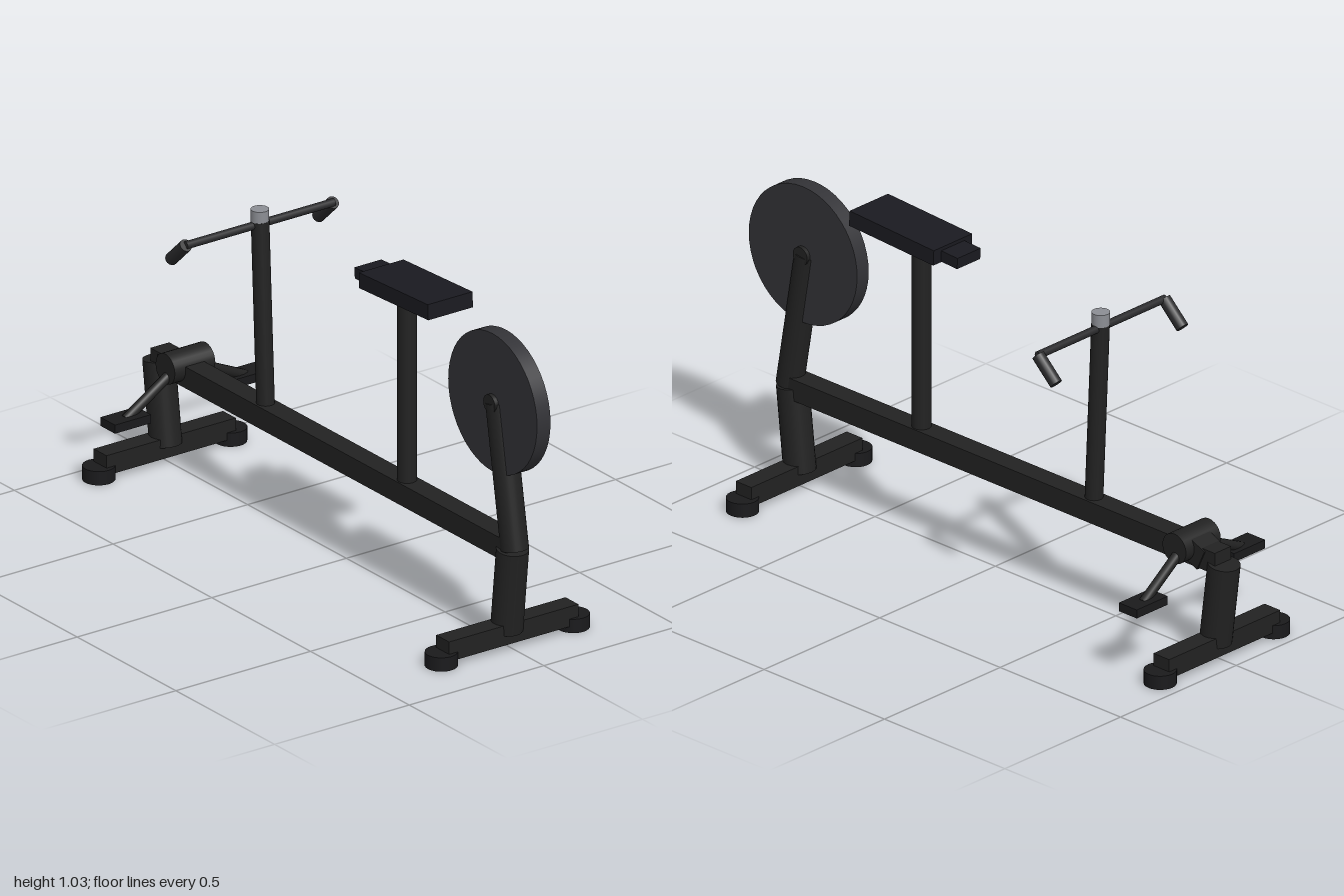
import * as THREE from 'three';

const paint = (color) => new THREE.MeshStandardMaterial({ color });

export function createModel() {
  const group = new THREE.Group();
  const frame = paint(0x222222), rubber = paint(0x1a1a1c), padding = paint(0x1a1a20);
  const iron = paint(0x333337), grey = paint(0x8c8e94), grip = paint(0x2a2a2c);

  const add = (name, geometry, material, [x, y, z]) => {
    const mesh = new THREE.Mesh(geometry, material);
    mesh.name = name;
    mesh.position.set(x, y, z);
    group.add(mesh);
    return mesh;
  };
  const box = (name, size, pos, material, tilt = 0) => {
    const mesh = add(name, new THREE.BoxGeometry(...size), material, pos);
    mesh.rotation.x = tilt;
    return mesh;
  };
  // Round bar running from point a to point b
  const rod = (name, a, b, radius, material, sides = 24) => {
    const from = new THREE.Vector3(...a), to = new THREE.Vector3(...b);
    const dir = to.clone().sub(from);
    const geometry = new THREE.CylinderGeometry(radius, radius, dir.length(), sides);
    const mesh = add(name, geometry, material, from.add(to).multiplyScalar(0.5).toArray());
    mesh.quaternion.setFromUnitVectors(new THREE.Vector3(0, 1, 0), dir.normalize());
    return mesh;
  };

  // Main beam
  box('mainBeam', [0.07, 0.07, 1.8], [0, 0.33, -0.045], frame);

  // Legs with crossbars and round feet
  rod('frontLeg', [0, 0.327, 0.842], [0, 0.055, 0.812], 0.05, frame);
  rod('rearLeg', [0, 0.322, -0.95], [0, 0.055, -0.915], 0.05, frame);
  for (const [end, z] of [['front', 0.815], ['rear', -0.92]]) {
    box(end + 'Crossbar', [0.48, 0.065, 0.065], [0, 0.053, z], frame);
    for (const side of [-1, 1]) {
      rod(end + 'Foot', [side * 0.245, 0, z], [side * 0.245, 0.045, z], 0.05, rubber);
    }
  }

  // Flywheel on its slanted post
  rod('flywheelPost', [0, 0.33, 0.853], [0, 0.785, 0.775], 0.043, frame);
  rod('flywheel', [-0.025, 0.787, 0.775], [0.025, 0.787, 0.775], 0.225, iron, 48);
  rod('flywheelHub', [-0.038, 0.785, 0.775], [0.038, 0.785, 0.775], 0.03, frame);

  // Seat, tipped slightly toward its nose
  rod('seatPost', [0, 0.35, 0.307], [0, 0.98, 0.307], 0.03, frame);
  box('seat', [0.166, 0.05, 0.35], [0, 1.0, 0.352], padding, -0.05);
  box('seatNose', [0.1, 0.036, 0.1], [0, 0.986, 0.16], padding, -0.05);

  // Handlebar with post, cap and grips
  rod('handlebarPost', [0, 0.35, -0.409], [0, 0.95, -0.437], 0.028, frame);
  rod('postCap', [0, 0.947, -0.438], [0, 0.988, -0.438], 0.028, grey);
  rod('handlebar', [-0.275, 0.938, -0.44], [0.275, 0.938, -0.44], 0.0125, grip, 16);
  for (const side of [-1, 1]) {
    rod('handGrip', [side * 0.273, 0.938, -0.44], [side * 0.273, 0.867, -0.515], 0.02, grip, 16);
  }

  // Crank housing, arms and pedals
  rod('crankHousing', [-0.075, 0.352, -0.815], [0.075, 0.352, -0.815], 0.049, frame);
  box('housingBracket', [0.08, 0.075, 0.1], [0, 0.345, -0.845], frame, -0.43);
  for (const side of [-1, 1]) {
    const z = -0.817 - side * 0.031;
    rod('crankArm', [side * 0.05, 0.335, -0.815], [side * 0.245, 0.24, z], 0.016, frame, 12);
    box('pedal', [0.134, 0.028, 0.074], [side * 0.243, 0.238, z], rubber);
  }

  return group;
}
